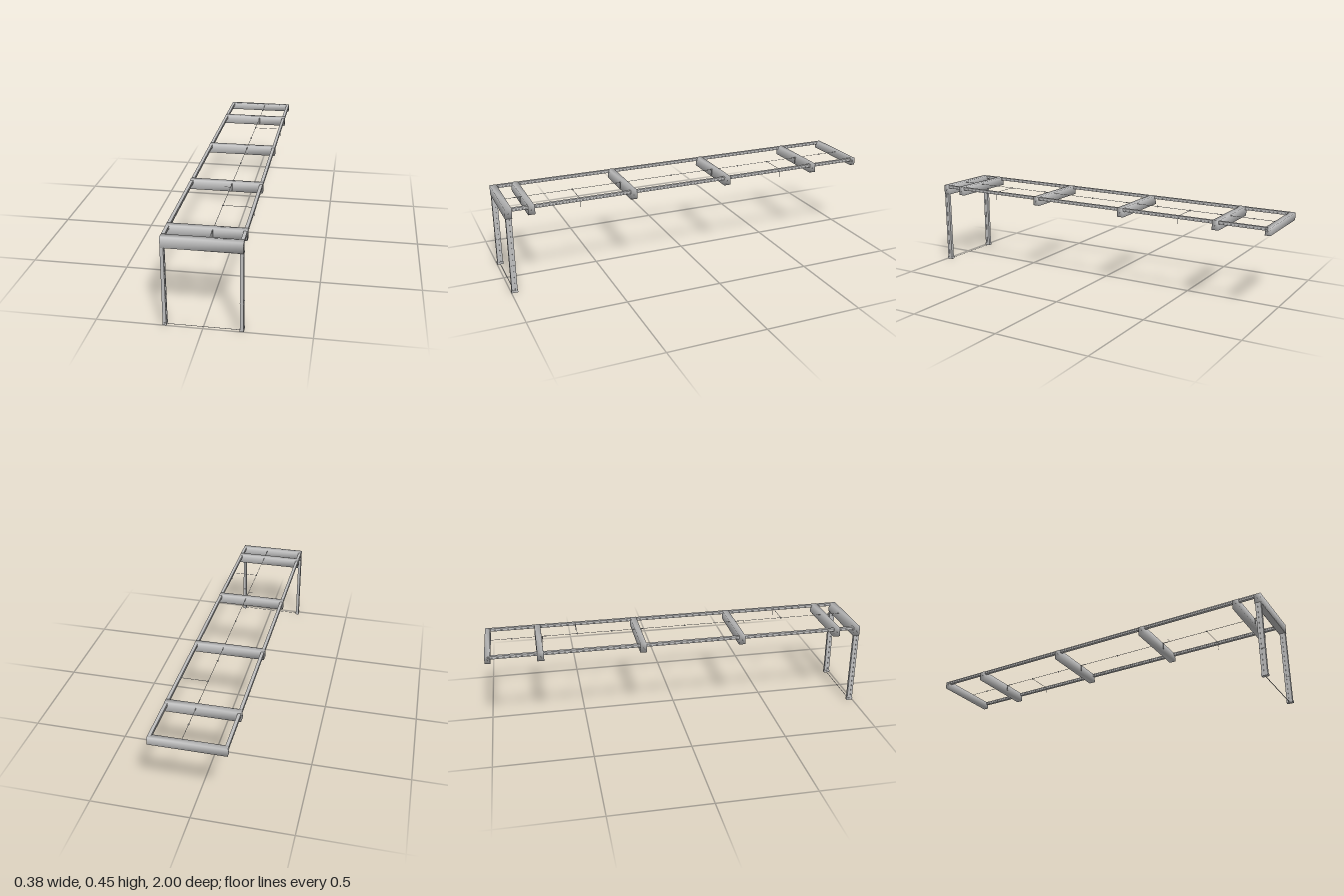
import * as THREE from 'three';
import { mergeVertices } from 'three/addons/utils/BufferGeometryUtils.js';

export function createModel() {
  const model = new THREE.Group();
  const steel = new THREE.MeshStandardMaterial({ color: 0xbfbfbf });
  steel.name = 'light grey aluminium';

  const add = (geo, name, x, y, z) => {
    const mesh = new THREE.Mesh(geo, steel);
    mesh.name = name;
    mesh.position.set(x, y, z);
    model.add(mesh);
    return mesh;
  };
  const box = (name, w, h, d, x, y, z) => add(new THREE.BoxGeometry(w, h, d), name, x, y, z);

  // Shares corner normals so that shading flows softly across the edges
  const soften = geo => {
    geo.deleteAttribute('normal');
    geo.deleteAttribute('uv');
    const soft = mergeVertices(geo);
    soft.computeVertexNormals();
    return soft;
  };

  // Rectangular bar with a shallow groove along its two x sides
  const grooved = (w, h, length) => {
    const a = w / 2, b = h / 2, g = h * 0.1, d = 0.002;
    const pts = [[-a, -b], [a, -b], [a, -g], [a - d, -g], [a - d, g], [a, g], [a, b],
      [-a, b], [-a, g], [-a + d, g], [-a + d, -g], [-a, -g]];
    const shape = new THREE.Shape(pts.map(p => new THREE.Vector2(...p)));
    return new THREE.ExtrudeGeometry(shape, { depth: length, bevelEnabled: false })
      .translate(0, 0, -length / 2);
  };

  // Soft-edged beam whose side faces lean in a little towards the top
  const beam = (name, width, top, bottom, depth, z, lean = 0) => {
    const a = depth / 2, b = a - lean;
    const shape = new THREE.Shape([[-a, bottom], [a, bottom], [b, top], [-b, top]]
      .map(p => new THREE.Vector2(...p)));
    const geo = new THREE.ExtrudeGeometry(shape, { depth: width, bevelEnabled: false })
      .translate(0, 0, -width / 2).rotateY(Math.PI / 2);
    add(soften(geo), name, 0, 0, z);
  };

  // Thin round rod between two points
  const rod = (name, from, to, r = 0.0012) => {
    const a = new THREE.Vector3(...from), b = new THREE.Vector3(...to);
    const mesh = add(new THREE.CylinderGeometry(r, r, a.distanceTo(b), 8), name, 0, 0, 0);
    mesh.position.copy(a).lerp(b, 0.5);
    mesh.quaternion.setFromUnitVectors(new THREE.Vector3(0, 1, 0), b.sub(a).normalize());
  };

  // Side rails and front legs
  for (const s of [-1, 1]) {
    add(grooved(0.016, 0.016, 1.95), 'sideRail', s * 0.177, 0.441, -0.01);
    const leg = grooved(0.016, 0.029, 0.386).rotateX(Math.PI / 2);
    add(leg, 'leg', s * 0.178, 0.205, 0.983);
    box('legCollar', 0.018, 0.004, 0.031, s * 0.178, 0.146, 0.983);
    box('foot', 0.019, 0.013, 0.033, s * 0.178, 0.0065, 0.983);
  }
  box('groundTie', 0.34, 0.0002, 0.004, 0, 0.0002, 0.983);

  // End beams and cross beams
  beam('frontBeam', 0.37, 0.449, 0.397, 0.035, 0.9825);
  box('frontBeamLip', 0.366, 0.003, 0.031, 0, 0.3965, 0.9825);
  beam('rearBeam', 0.37, 0.449, 0.41, 0.028, -0.986);
  const beamZ = [0.869, 0.339, -0.191, -0.721];
  for (const z of beamZ) beam('crossBeam', 0.371, 0.45, 0.402, 0.036, z, 0.002);

  // Service line under the roof, with a hanger at each beam
  const lineX = 0.03, lineY = 0.444;
  rod('serviceLine', [lineX, lineY, 0.966], [lineX, lineY, -0.975]);
  for (const z of beamZ) {
    const f = z + 0.021;
    rod('lineHanger', [lineX, lineY, f], [lineX, 0.41, f], 0.002);
    rod('hangerArm', [lineX, lineY, f], [lineX, lineY, f + 0.035], 0.002);
  }
  for (const z of [0.62, 0.07, -0.33, -0.515, -0.86]) {
    add(new THREE.SphereGeometry(0.0045, 12, 8), 'lineJoint', lineX, lineY, z);
  }

  // Side branches that drop by the rail, and a short stub
  for (const z of [0.62, -0.515]) {
    rod('branchLine', [lineX, lineY, z], [0.18, lineY, z]);
    rod('branchDrop', [0.18, lineY, z], [0.18, 0.4, z]);
  }
  rod('stubLine', [lineX, lineY, 0.4], [0, lineY, 0.4]);
  return model;
}
